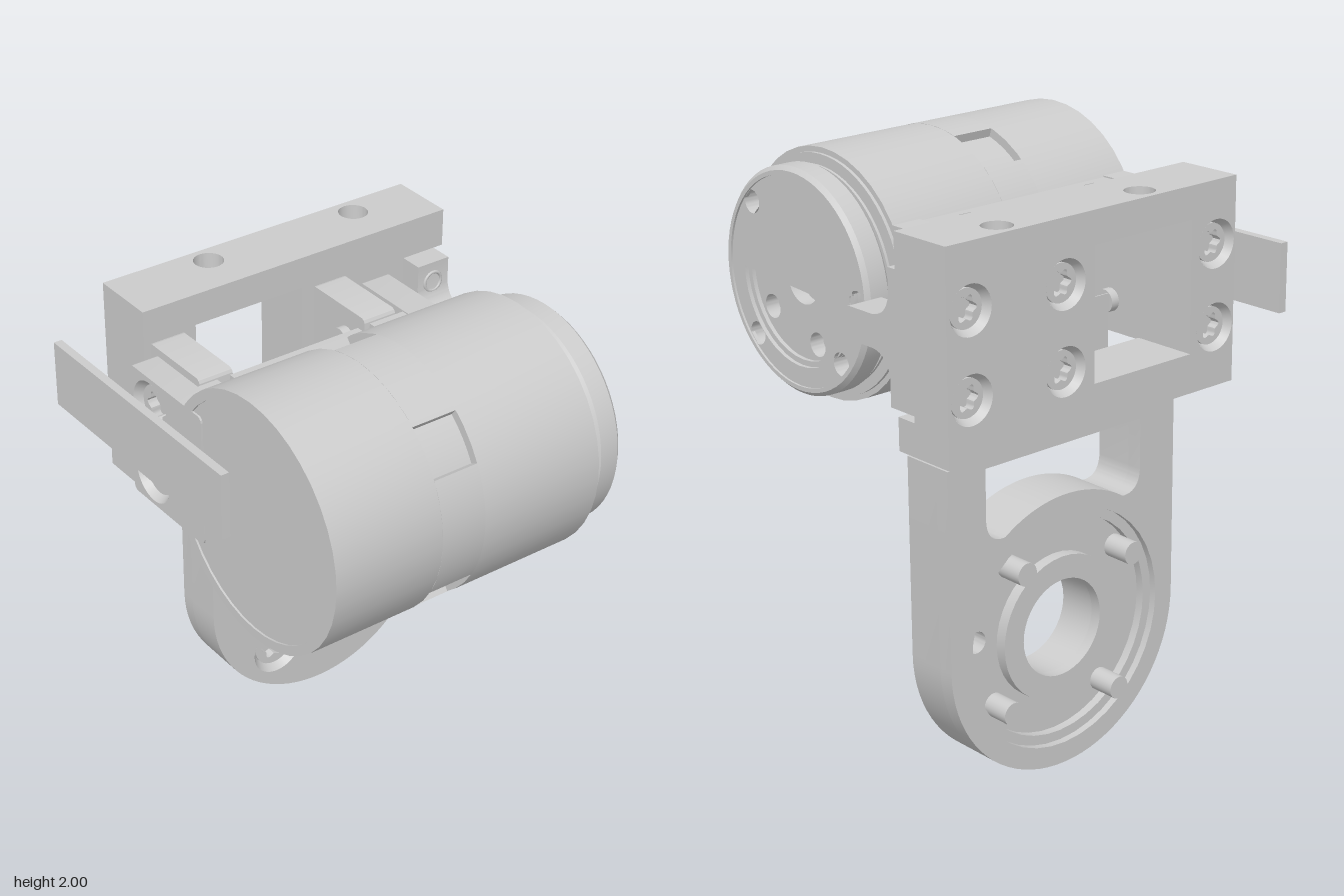
import * as THREE from 'three';
import { toCreasedNormals } from 'three/addons/utils/BufferGeometryUtils.js';

const grey = new THREE.MeshStandardMaterial({ color: 0xcccccc });
const grey2 = new THREE.MeshStandardMaterial({ color: 0xcccccc, side: THREE.DoubleSide });

function add(parent, name, geo, x = 0, y = 0, z = 0, mat = grey) {
  const m = new THREE.Mesh(geo, mat);
  m.name = name;
  m.position.set(x, y, z);
  parent.add(m);
  return m;
}
// Box given by its limits
function block(parent, name, x0, x1, y0, y1, z0, z1) {
  return add(parent, name, new THREE.BoxGeometry(x1 - x0, y1 - y0, z1 - z0),
    (x0 + x1) / 2, (y0 + y1) / 2, (z0 + z1) / 2);
}
function extrude(shape, depth) {
  const g = new THREE.ExtrudeGeometry(shape, { depth, bevelEnabled: false, curveSegments: 20 });
  return toCreasedNormals(g, 0.6);
}
// Extrusion along +x; the shape is drawn in (-z, y)
const extrudeX = (shape, depth) => extrude(shape, depth).rotateY(Math.PI / 2);
// Profile of [radius, x] turned about the x axis
const latheX = pts => toCreasedNormals(
  new THREE.LatheGeometry(pts.map(p => new THREE.Vector2(...p)), 64).rotateZ(-Math.PI / 2), 0.5);

const circle = (x, y, r) => new THREE.Path().absarc(x, y, r, 0, Math.PI * 2, true);
function rect(x0, x1, y0, y1) {
  return new THREE.Shape([[x0, y0], [x1, y0], [x1, y1], [x0, y1]].map(p => new THREE.Vector2(...p)));
}
function roundRect(x0, x1, y0, y1, r) {
  const s = new THREE.Shape(), q = Math.PI / 2;
  s.absarc(x1 - r, y1 - r, r, 0, q);
  s.absarc(x0 + r, y1 - r, r, q, 2 * q);
  s.absarc(x0 + r, y0 + r, r, 2 * q, 3 * q);
  s.absarc(x1 - r, y0 + r, r, 3 * q, 4 * q);
  return s;
}
function disc(r, holes) {
  const s = new THREE.Shape().absarc(0, 0, r, 0, Math.PI * 2);
  s.holes.push(...holes);
  return s;
}
const polar = (r, a) => [r * Math.cos(a), r * Math.sin(a)];

// Recessed screw with a six-lobed socket, facing +z, its rim at the origin
function screw(parent, x, y, z, r = 0.105, turn = 0) {
  const g = new THREE.Group();
  g.name = 'screw';
  const inner = r * 0.78;
  const cup = new THREE.LatheGeometry([new THREE.Vector2(r, 0), new THREE.Vector2(inner, -0.035)], 32);
  add(g, 'countersink', cup.rotateX(Math.PI / 2), 0, 0, 0, grey2);
  const star = [];
  for (let i = 0; i < 48; i++) {
    const a = i / 48 * Math.PI * 2;
    star.push(new THREE.Vector2(...polar(r * (0.47 + 0.075 * Math.cos(6 * a)), a)));
  }
  add(g, 'screwHead', extrude(disc(inner, [new THREE.Path(star)]), 0.05), 0, 0, -0.075);
  add(g, 'socketFloor', new THREE.CircleGeometry(r * 0.65, 24), 0, 0, -0.06);
  g.position.set(x, y, z);
  g.rotation.y = turn;
  parent.add(g);
}

function buildMotor(body) {
  const motor = new THREE.Group();
  motor.name = 'motor';
  motor.position.set(0, 1.543, 0.335);
  body.add(motor);
  const R = 0.445, ri = 0.41, deg = Math.PI / 180;
  // Housing: two full bands, and a middle band cut by windows
  const band = (x0, x1) =>
    add(motor, 'housingBand', extrudeX(disc(R, [circle(0, 0, ri)]), x1 - x0), x0);
  band(-0.67, -0.26);
  band(-0.09, 0.385);
  const win = [62, 140, 220, 298], half = 11.5;
  win.forEach((w, i) => {
    const a0 = (w + half) * deg, a1 = ((i < 3 ? win[i + 1] : win[0] + 360) - half) * deg;
    const s = new THREE.Shape().absarc(0, 0, R, a0, a1).absarc(0, 0, ri, a1, a0, true);
    add(motor, 'housingSector', extrudeX(s, 0.17), -0.26);
  });
  add(motor, 'motorCore', latheX([[0, -0.663], [ri + 0.003, -0.663], [ri + 0.003, 0.38],
    [0.425, 0.38], [0.425, 0.397], [0.36, 0.397], [0.36, 0.405], [0.39, 0.405], [0.39, 0.415],
    [0.36, 0.415], [0.36, 0.43], [0, 0.43]]));
  // Output flange: chamfered rim, holed ring and sunken hub
  add(motor, 'flangeRim', latheX([[0.36, 0.42], [0.385, 0.42], [0.4, 0.435], [0.4, 0.507],
    [0.385, 0.523], [0.37, 0.523], [0.37, 0.5]]));
  const rimHoles = [45, 135, 225, 315, 0, 180].map(a => circle(...polar(0.335, a * deg), 0.042));
  add(motor, 'flangeRing', extrudeX(disc(0.372, [circle(0, 0, 0.3), ...rimHoles]), 0.09), 0.425);
  const hubHoles = [0, 72, 144, 216, 288].map(a => circle(...polar(0.225, a * deg), 0.043));
  add(motor, 'flangeHub', extrudeX(disc(0.302, [circle(0, 0, 0.085), ...hubHoles]), 0.06), 0.425);
  add(motor, 'hubLip', extrudeX(disc(0.3, [circle(0, 0, 0.28)]), 0.02), 0.48);

  // Saddle at the back of the housing, with two notches
  [[-0.6, -0.49, -0.112], [-0.49, -0.44, -0.07], [-0.44, 0.08, -0.112], [0.08, 0.13, -0.07], [0.13, 0.3, -0.112]]
    .forEach(([a, b, z]) => block(body, 'saddle', a, b, 1.31, 1.785, z, 0.02));
  // Two mounting ears; the right one carries visible screws
  const ys = [1.415, 1.672];
  for (const [x, w, holes] of [[-0.67, 0.1, true], [0.27, 0.115, true]]) {
    const s = roundRect(-0.06, 0.355, 1.3, 1.79, 0.02);
    if (holes) ys.forEach(y => s.holes.push(circle(0.238, y, 0.1)));
    add(body, 'mountingEar', extrudeX(s, w), x);
  }
  ys.forEach(y => {
    screw(body, 0.385, y, -0.238, 0.1, Math.PI / 2);
    screw(body, -0.67, y, -0.238, 0.1, -Math.PI / 2);
  });
  // Cable connector, circuit board and bent pins
  block(body, 'connector', -0.24, -0.1, 1.42, 1.64, -0.29, -0.05);
  const bar = new THREE.CapsuleGeometry(0.018, 0.22, 4, 12).rotateZ(Math.PI / 2);
  add(body, 'connectorBar', bar, -0.175, 1.53, -0.215);
  block(body, 'circuitBoard', -0.35, 0, 1.09, 1.46, -0.291, -0.286);
  for (const x of [-0.295, -0.18, -0.07]) {
    const path = new THREE.CatmullRomCurve3([[1.175, -0.28], [1.175, -0.315], [1.16, -0.335],
      [1.13, -0.342], [1, -0.342]].map(([y, z]) => new THREE.Vector3(x, y, z)));
    add(body, 'pin', new THREE.TubeGeometry(path, 20, 0.022, 12), 0, 0, 0, grey2);
    add(body, 'pinEnd', new THREE.CircleGeometry(0.022, 12).rotateX(Math.PI / 2), x, 1, -0.342);
  }
  block(body, 'flatCable', -0.705, -0.674, 1.43, 1.675, -0.785, 0.22);
}

function buildPlate(body) {
  const xl = -0.565, xr = 0.697, cx = 0.21, cy = 0.502;
  // Top bar with two vertical holes
  const top = rect(xl, xr, 0.43, 0.675);
  top.holes.push(circle(-0.19, 0.6, 0.053), circle(0.425, 0.6, 0.053));
  add(body, 'topBar', extrude(top, 0.11).rotateX(-Math.PI / 2), 0, 1.8, 0);
  // Upper plate in two layers; the front one is notched for the stop
  const window = () => roundRect(-0.36, 0.08, 1.33, 1.82, 0.025);
  const cols = [0.6, 0.205, -0.475], rows = [1.69, 1.4];
  const back = rect(xl, xr, 1.19, 1.8);
  const cut = new THREE.Path([[-0.36, 1.33], [0.08, 1.33], [0.08, 1.795], [-0.36, 1.795]]
    .map(p => new THREE.Vector2(...p)));
  back.holes.push(cut);
  const front = new THREE.Shape([[xl, 1.19], [xr, 1.19], [xr, 1.305], [0.52, 1.305], [0.52, 1.77],
    [xr, 1.77], [xr, 1.8], [xl, 1.8]].map(p => new THREE.Vector2(...p)));
  front.holes.push(cut);
  add(body, 'upperPlateFront', extrude(front, 0.08), 0, 0, -0.51);
  cols.forEach(x => rows.forEach(y => {
    back.holes.push(circle(x, y, 0.085));
    screw(body, x, y, -0.675, 0.085, Math.PI);
  }));
  add(body, 'upperPlateBack', extrude(back, 0.165), 0, 0, -0.675);

  // Lower plate: round end, curved window, stepped bearing seat behind
  const R = 0.495, outline = () => new THREE.Shape().moveTo(cx + R, 1.19).lineTo(cx - R, 1.19)
    .absarc(cx, cy, R, Math.PI, Math.PI * 2).lineTo(cx + R, 1.19);
  const slot = () => new THREE.Path().moveTo(-0.13, 1.16).lineTo(-0.13, 0.98)
    .quadraticCurveTo(-0.125, 0.9, -0.05, 0.905).absarc(cx, cy, 0.48, 2.143, 0.998, true)
    .quadraticCurveTo(0.545, 0.9, 0.55, 0.98).lineTo(0.55, 1.16).lineTo(-0.13, 1.16);
  const face = outline(), rear = outline();
  face.holes.push(slot(), circle(cx, cy, 0.172), circle(0.55, 0.54, 0.038));
  rear.holes.push(slot(), circle(cx, cy, 0.42));
  for (const a of [52.7, 142.6, 232.7, 322.6]) {
    const [dx, dy] = polar(0.34, a * Math.PI / 180);
    face.holes.push(circle(cx + dx, cy + dy, 0.108));
    screw(body, cx + dx, cy + dy, -0.48, 0.108);
    // Threaded end standing out at the back, with its seat
    const end = new THREE.CylinderGeometry(0.04, 0.04, 0.14, 24).rotateX(Math.PI / 2);
    add(body, 'screwEnd', end, cx + dx, cy + dy, -0.65);
    add(body, 'screwSeat', new THREE.CylinderGeometry(0.11, 0.11, 0.05, 32).rotateX(Math.PI / 2),
      cx + dx, cy + dy, -0.595);
  }
  add(body, 'lowerPlateFront', extrude(face, 0.14), 0, 0, -0.62);
  add(body, 'lowerPlateRear', extrude(rear, 0.055), 0, 0, -0.675);
  add(body, 'bearingSeat', extrude(disc(0.255, [circle(0, 0, 0.172)]), 0.04), cx, cy, -0.66);
  add(body, 'bearingStep', extrude(disc(0.425, [circle(0, 0, 0.385)]), 0.03), cx, cy, -0.65);

  // Brackets reaching forward to the motor ears, with screw tips
  for (const [x0, tip] of [[-0.54, -0.395], [0.13, 0.115]]) {
    add(body, 'bracket', extrudeX(roundRect(0.14, 0.44, 1.3, 1.785, 0.02), 0.13), x0);
    for (const y of [1.415, 1.672]) {
      add(body, 'screwTip', new THREE.CylinderGeometry(0.042, 0.042, 0.035, 24).rotateZ(Math.PI / 2),
        tip, y, -0.24);
    }
  }

  // End stop: base block with a filleted, rounded tongue
  const stop = new THREE.Shape().moveTo(0.51, 1.305).lineTo(0.51, 1.77).lineTo(0.345, 1.77)
    .lineTo(0.345, 1.68).quadraticCurveTo(0.335, 1.605, 0.26, 1.597).lineTo(0.145, 1.597)
    .quadraticCurveTo(0.12, 1.597, 0.12, 1.57).lineTo(0.12, 1.51)
    .quadraticCurveTo(0.12, 1.483, 0.145, 1.483).lineTo(0.26, 1.483)
    .quadraticCurveTo(0.335, 1.475, 0.345, 1.4).lineTo(0.345, 1.305);
  add(body, 'endStop', extrudeX(stop, 0.135), 0.523);
  for (const y of [1.695, 1.4]) {
    add(body, 'stopHoleRim', new THREE.TorusGeometry(0.036, 0.006, 8, 24), 0.59, y, -0.345);
  }
}

export function createModel() {
  const model = new THREE.Group();
  model.name = 'motorBracketAssembly';
  // The whole assembly leans by about one degree
  const tilt = new THREE.Group(), body = new THREE.Group();
  tilt.name = 'tilt';
  body.name = 'assembly';
  tilt.position.y = 1.5;
  tilt.rotation.z = -0.019;
  body.position.y = -1.5;
  tilt.add(body);
  model.add(tilt);
  buildMotor(body);
  buildPlate(body);
  return model;
}
